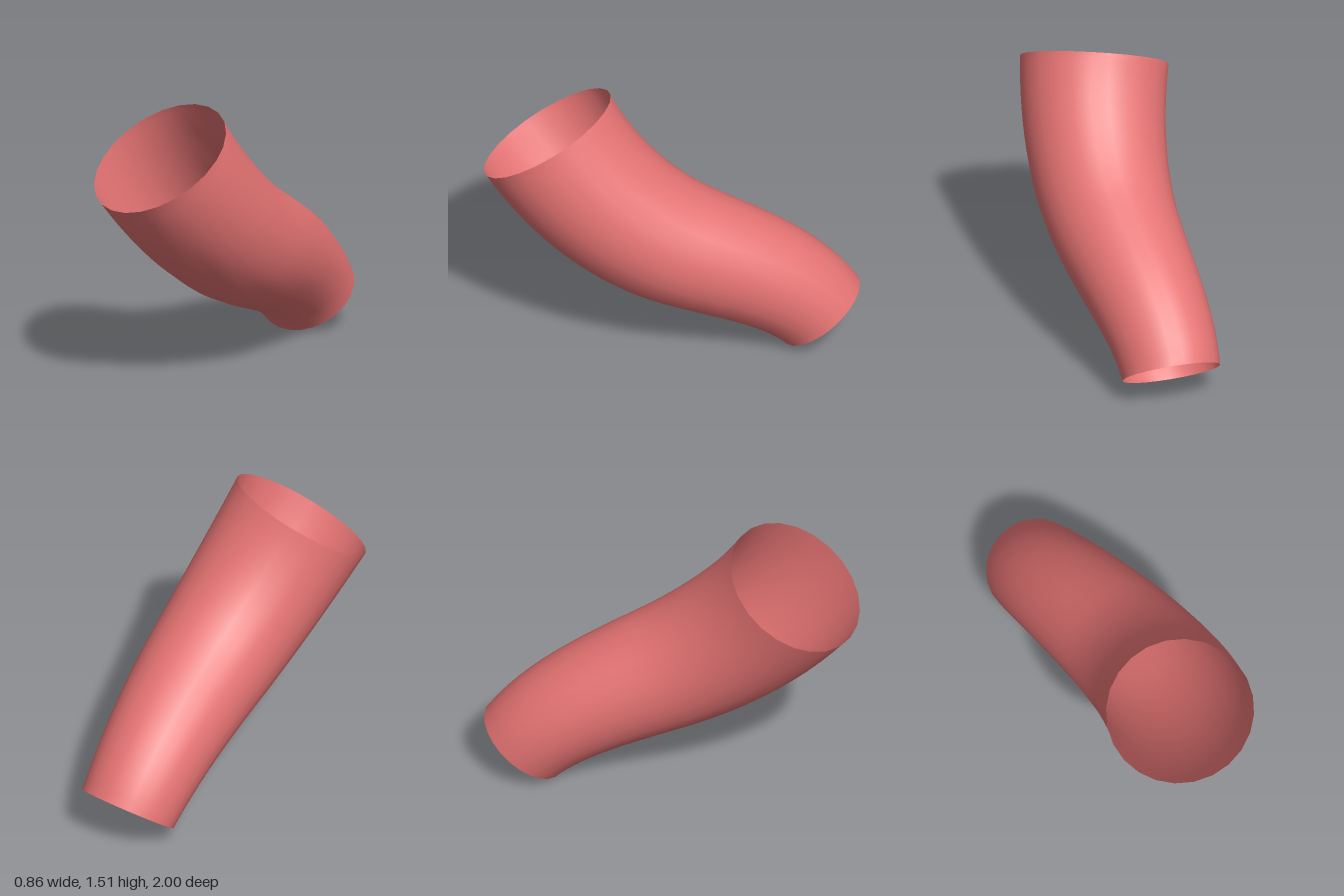
import * as THREE from 'three';
import { mergeVertices } from 'three/addons/utils/BufferGeometryUtils.js';

const RINGS = 40, SIDES = 24;

// Open tube along a curve, widening from r0 to r1 with a slight swell in the middle
function taperedTube(curve, r0, r1, swell) {
  let geo = new THREE.TubeGeometry(curve, RINGS, 1, SIDES, false);
  const pos = geo.attributes.position;
  const v = new THREE.Vector3();
  for (let i = 0; i <= RINGS; i++) {
    const t = i / RINGS;
    const centre = curve.getPointAt(t);
    const r = THREE.MathUtils.lerp(r0, r1, t) + swell * Math.sin(Math.PI * t);
    for (let j = 0; j <= SIDES; j++) {
      const k = i * (SIDES + 1) + j;
      v.fromBufferAttribute(pos, k).sub(centre).multiplyScalar(r).add(centre);
      pos.setXYZ(k, v.x, v.y, v.z);
    }
  }
  // Weld the seam so the shading stays smooth all round
  geo.deleteAttribute('uv');
  geo.deleteAttribute('normal');
  geo = mergeVertices(geo, 1e-5);
  geo.computeVertexNormals();
  return geo;
}

export function createModel() {
  const group = new THREE.Group();
  group.name = 'curvedSleeve';

  // S-shaped centre line from the low, narrow back end to the high, wide front end
  const point = (x, y, z) => new THREE.Vector3(x, y, z);
  const middle = point(0.085, 0.65, -0.03);
  const path = new THREE.CurvePath();
  path.add(new THREE.CubicBezierCurve3(
    point(0.055, 0.163, -0.79), point(0.04, 0.4, -0.607), point(0.085, 0.515, -0.297), middle));
  path.add(new THREE.CubicBezierCurve3(
    middle, point(0.085, 0.794, 0.255), point(0.03, 1.028, 0.497), point(-0.05, 1.29, 0.66)));

  const material = new THREE.MeshStandardMaterial({ color: 0xe57373, side: THREE.DoubleSide });
  const tube = new THREE.Mesh(taperedTube(path, 0.263, 0.396, 0.013), material);
  tube.name = 'taperedTube';
  group.add(tube);
  return group;
}
